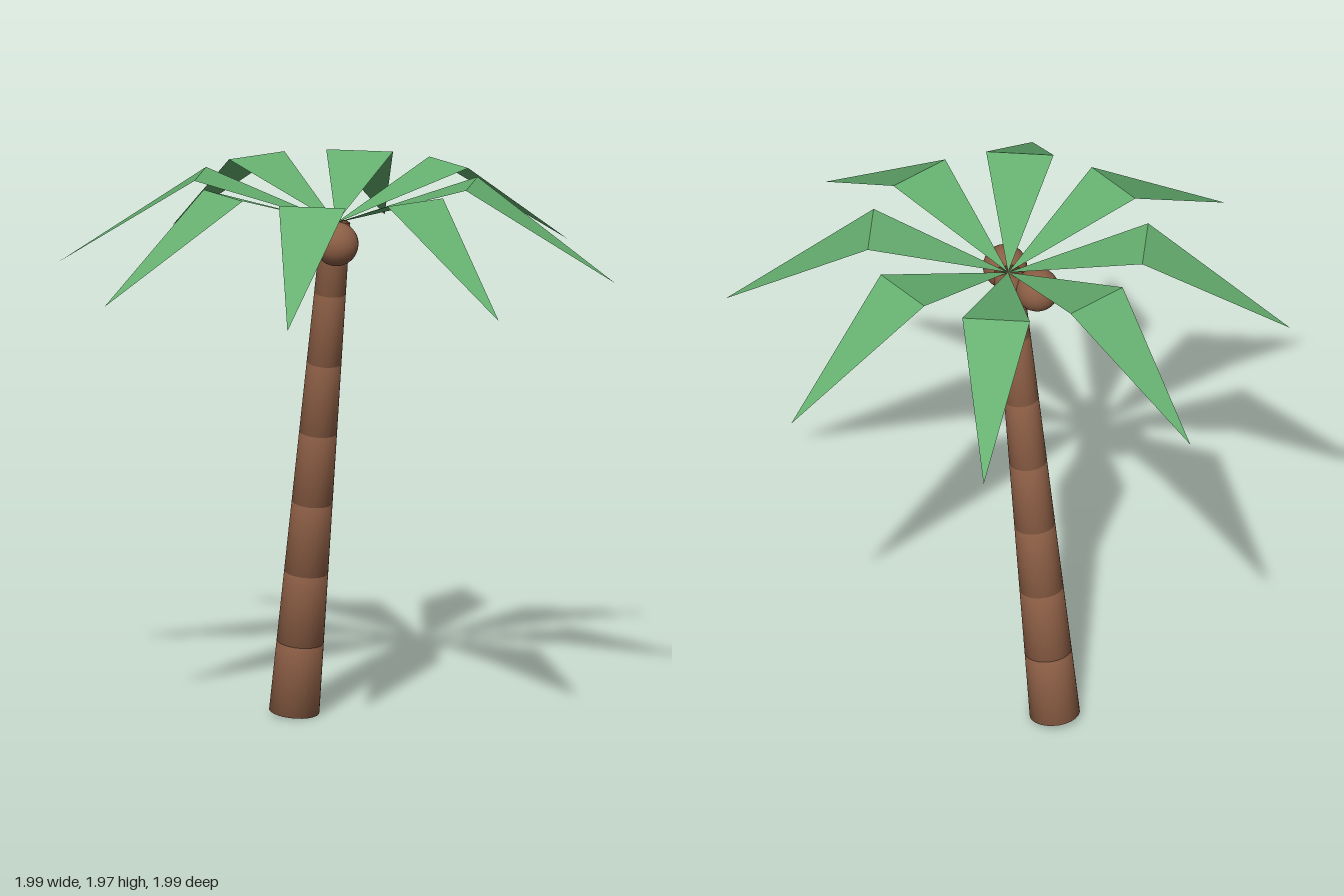
import * as THREE from 'three';

const bark = new THREE.MeshStandardMaterial({ color: 0x8c5e45 });
const leaf = new THREE.MeshStandardMaterial({ color: 0x66b070, side: THREE.DoubleSide });

// Leaning trunk: tapered rings stacked along a straight axis, normals rounded into their caps
function createTrunk() {
  const trunk = new THREE.Group();
  trunk.name = 'trunk';
  const base = new THREE.Vector3(-0.255, 0.014, 0);
  const axis = new THREE.Vector3(0, 1.81, 0).sub(base);
  const rings = 7;
  const h = axis.length() / rings;
  const radius = (i) => 0.089 - 0.0055 * i;
  for (let i = 0; i < rings; i++) {
    const profile = [[0, 0], [radius(i), 0], [radius(i + 1), h], [0, h]];
    const geometry = new THREE.LatheGeometry(profile.map(([x, y]) => new THREE.Vector2(x, y)), 24);
    const ring = new THREE.Mesh(geometry, bark);
    ring.name = 'trunkRing' + (i + 1);
    ring.position.y = i * h;
    trunk.add(ring);
  }
  trunk.position.copy(base);
  trunk.quaternion.setFromUnitVectors(new THREE.Vector3(0, 1, 0), axis.normalize());
  return trunk;
}

// Frond: a rising triangle and a drooping triangle, folded across the widest line
function createFrondGeometry() {
  const root = [0, 1.81, 0];
  const sideA = [-0.119, 1.968, 0.484];
  const sideB = [0.119, 1.968, 0.484];
  const tip = [0, 1.63, 0.995];
  const geometry = new THREE.BufferGeometry();
  const corners = [root, sideA, sideB, sideA, tip, sideB].flat();
  geometry.setAttribute('position', new THREE.Float32BufferAttribute(corners, 3));
  geometry.computeVertexNormals();
  return geometry;
}

export function createModel() {
  const palm = new THREE.Group();
  palm.name = 'palmTree';
  palm.add(createTrunk());

  // Crown of eight fronds
  const crown = new THREE.Group();
  crown.name = 'crown';
  const frondGeometry = createFrondGeometry();
  for (let i = 0; i < 8; i++) {
    const frond = new THREE.Mesh(frondGeometry, leaf);
    frond.name = 'frond' + (i + 1);
    frond.rotation.y = (i * Math.PI) / 4;
    crown.add(frond);
  }
  palm.add(crown);

  // Pair of coconuts under the front of the crown
  const nutGeometry = new THREE.SphereGeometry(0.078, 24, 16);
  for (const side of [-1, 1]) {
    const nut = new THREE.Mesh(nutGeometry, bark);
    nut.name = side > 0 ? 'leftCoconut' : 'rightCoconut';
    nut.position.set(side * 0.088, 1.757, 0.06);
    palm.add(nut);
  }
  return palm;
}
